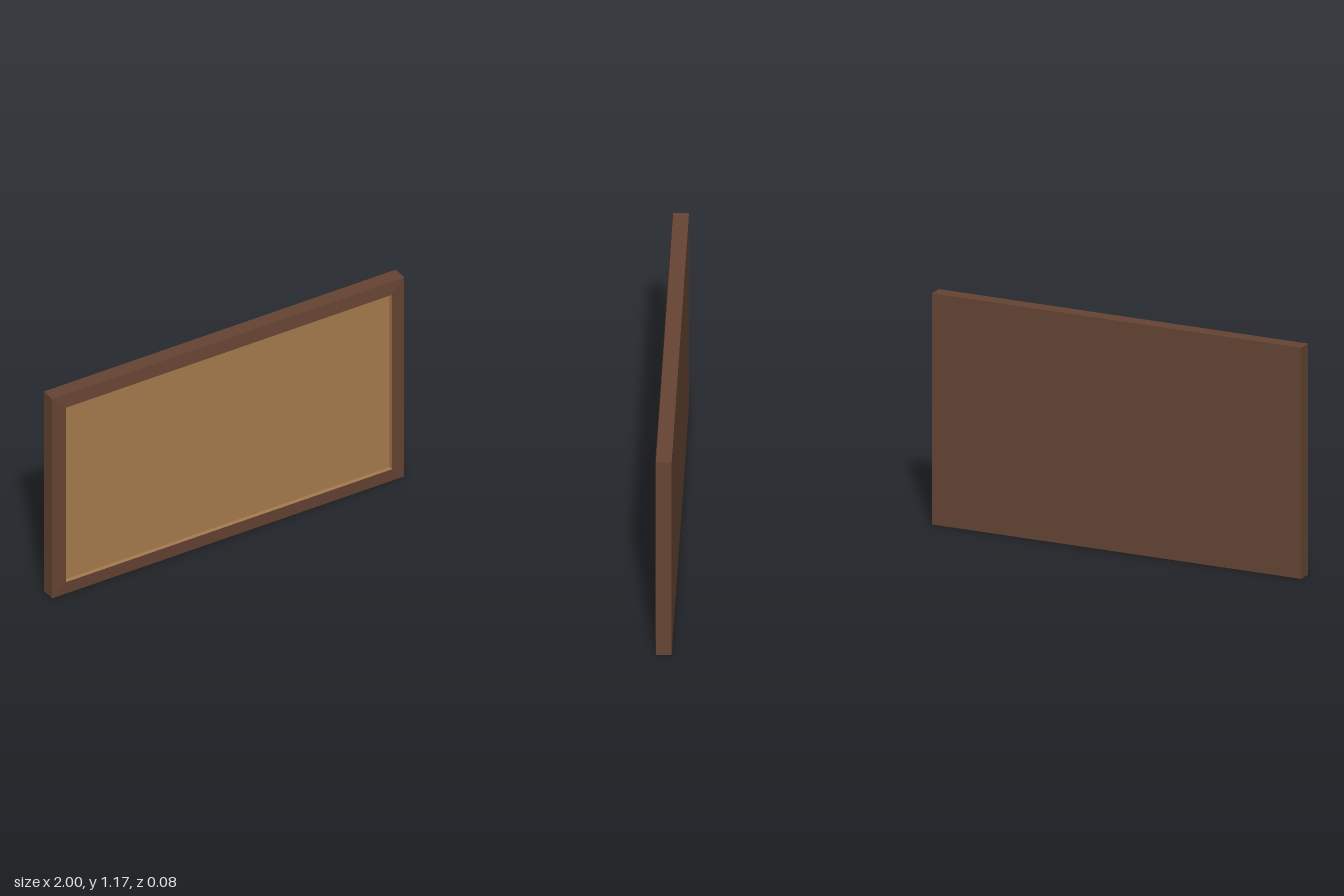
import * as THREE from 'three';

const H = 1.175; // outer height
const OUTER_BACK = [1, H / 2, -0.042];
const OUTER_FRONT = [1, H / 2, 0.035];
const INNER_FRONT = [0.927, H / 2 - 0.073, 0.042];
const INNER_BACK = [0.927, H / 2 - 0.073, 0.02];

// Joins rectangular rings [halfWidth, halfHeight, z] with flat quads
function loft(rings) {
  const corners = [[-1, -1], [1, -1], [1, 1], [-1, 1]];
  const point = ([w, h, z], i) => [corners[i][0] * w, corners[i][1] * h, z];
  const pos = [];
  for (let r = 0; r < rings.length - 1; r++) {
    for (let i = 0; i < 4; i++) {
      const j = (i + 1) % 4;
      const a = point(rings[r], i), b = point(rings[r], j);
      const c = point(rings[r + 1], j), d = point(rings[r + 1], i);
      pos.push(...a, ...b, ...c, ...a, ...c, ...d);
    }
  }
  const geo = new THREE.BufferGeometry();
  geo.setAttribute('position', new THREE.Float32BufferAttribute(pos, 3));
  geo.computeVertexNormals();
  return geo;
}

export function createModel() {
  const group = new THREE.Group();
  group.name = 'framedBoard';

  const darkWood = new THREE.MeshStandardMaterial({ color: 0x654433 });
  darkWood.name = 'dark wood';
  const cork = new THREE.MeshStandardMaterial({ color: 0xa67a4d });
  cork.name = 'cork';

  const add = (name, geo, material, z = 0) => {
    const mesh = new THREE.Mesh(geo, material);
    mesh.name = name;
    mesh.position.set(0, H / 2, z);
    group.add(mesh);
    return mesh;
  };

  // Outer walls and the front face, which rises slightly toward the opening
  add('frame', loft([OUTER_BACK, OUTER_FRONT, INNER_FRONT]), darkWood);

  // Flat back
  add('back', new THREE.PlaneGeometry(2, H), darkWood, OUTER_BACK[2]).rotation.y = Math.PI;

  // Recessed board with its shallow side walls
  add('recessWalls', loft([INNER_FRONT, INNER_BACK]), cork);
  add('board', new THREE.PlaneGeometry(INNER_BACK[0] * 2, INNER_BACK[1] * 2), cork, INNER_BACK[2]);

  return group;
}
